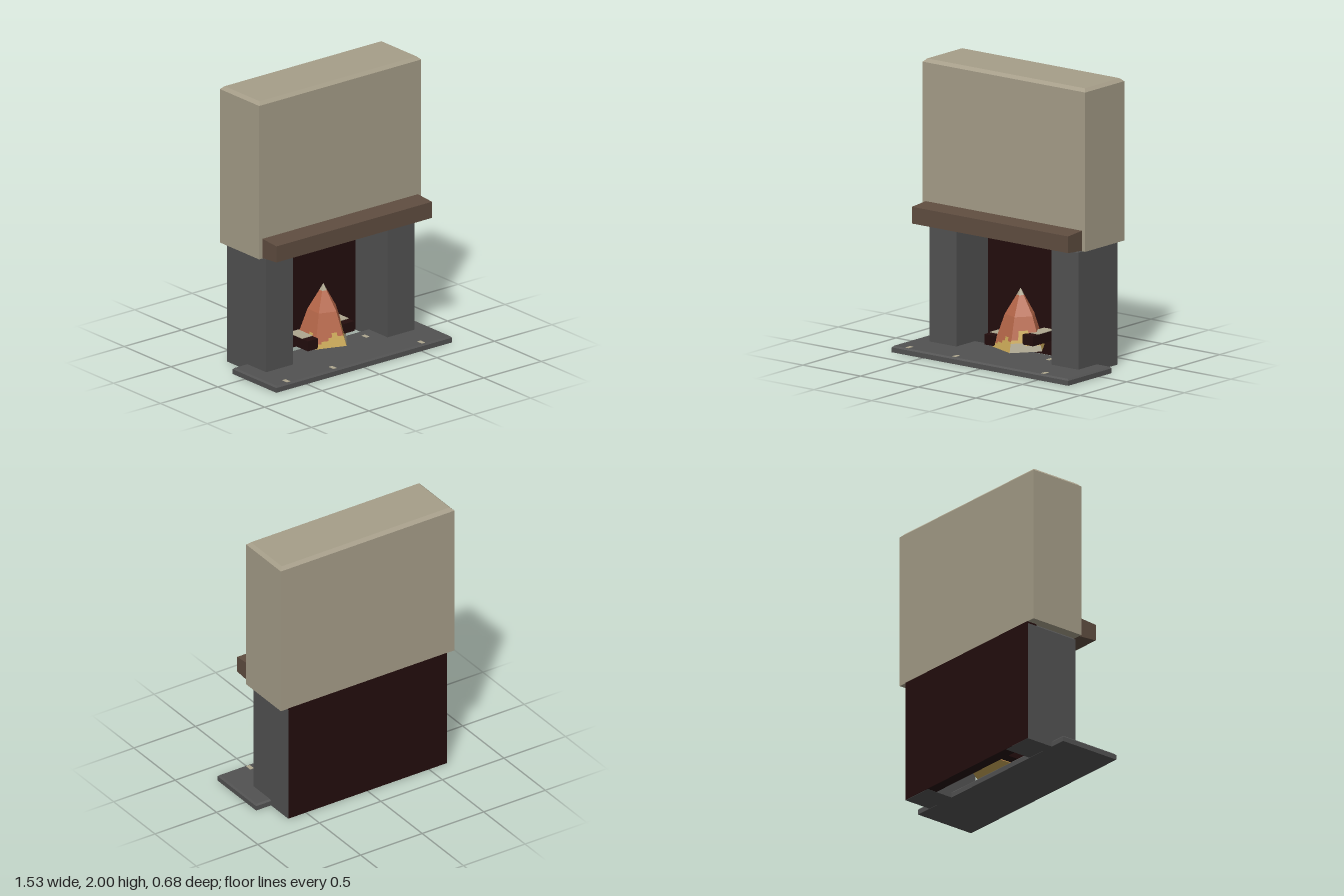
import * as THREE from 'three';

const mat = (name, color) => {
  const m = new THREE.MeshStandardMaterial({ color });
  m.name = name;
  return m;
};

// Faceted normals baked into the geometry
function faceted(geo) {
  const g = geo.index ? geo.toNonIndexed() : geo;
  g.computeVertexNormals();
  return g;
}

// Box from min to max whose top edge is chamfered by inset and drop
function block([x0, y0, z0], [x1, y1, z1], inset = 0, drop = 0) {
  const w = x1 - x0, h = y1 - y0, d = z1 - z0;
  const g = new THREE.BoxGeometry(w, h, d, 1, inset ? 2 : 1, 1);
  const p = g.attributes.position;
  if (inset) for (let i = 0; i < p.count; i++) {
    const y = p.getY(i);
    if (Math.abs(y) < 1e-6) p.setY(i, h / 2 - drop);
    else if (y > 0) {
      p.setX(i, p.getX(i) - Math.sign(p.getX(i)) * inset);
      p.setZ(i, p.getZ(i) - Math.sign(p.getZ(i)) * inset);
    }
  }
  g.translate((x0 + x1) / 2, (y0 + y1) / 2, (z0 + z1) / 2);
  return faceted(g);
}

export function createModel() {
  const root = new THREE.Group();
  root.name = 'fireplace';
  const plaster = mat('plaster', 0xa69e89);
  const stone = mat('dark stone', 0x525252);
  const wood = mat('mantel wood', 0x5f4d40);
  const soot = mat('soot', 0x230d0d);
  const orange = mat('flame orange', 0xb8684a);
  const yellow = mat('flame yellow', 0xccaa58);
  const ash = mat('ash', 0xaea78f);

  const add = (name, geo, material, parent = root) => {
    const m = new THREE.Mesh(geo, material);
    m.name = name;
    parent.add(m);
    return m;
  };

  add('chimneyBreast', block([-0.705, 0.872, -0.34], [0.705, 2, 0.08], 0.023, 0.022), plaster);
  add('hearth', block([-0.765, 0, -0.13], [0.765, 0.045, 0.337], 0.011, 0.011), stone);
  for (const s of [-1, 1]) {
    const xs = [s * 0.412, s * 0.645].sort((a, b) => a - b);
    add(s > 0 ? 'leftPillar' : 'rightPillar',
      block([xs[0], 0.001, -0.339], [xs[1], 0.871, 0.08], 0.012, 0.014), stone);
  }
  add('firebackPanel', block([-0.643, 0.002, -0.341], [0.643, 0.874, -0.262]), soot);

  // Mantel shelf tapering towards its front edge
  const mantel = block([-0.677, 0.875, 0.07], [0.677, 1.015, 0.23]);
  const mp = mantel.attributes.position;
  for (let i = 0; i < mp.count; i++) {
    if (mp.getZ(i) > 0.2) mp.setY(i, mp.getY(i) > 0.95 ? 1.003 : 0.887);
  }
  add('mantelShelf', faceted(mantel), wood);

  // Five-sided flame made of stacked bands
  const fire = new THREE.Group();
  fire.name = 'fire';
  fire.position.z = -0.1;
  root.add(fire);
  const start = THREE.MathUtils.degToRad(16), step = Math.PI * 2 / 5;
  const profile = [[0.07, 0.187], [0.3, 0.107], [0.435, 0.027], [0.482, 0.0005]];
  [orange, orange, ash].forEach((m, i) => {
    const [y0, r0] = profile[i], [y1, r1] = profile[i + 1];
    const g = new THREE.CylinderGeometry(r1, r0, y1 - y0, 5, 1, true, start);
    g.translate(0, (y0 + y1) / 2, 0);
    add(i < 2 ? 'flameBody' : 'flameTip', faceted(g), m, fire);
  });
  const base = new THREE.CircleGeometry(0.187, 5, Math.PI / 2 - start);
  base.rotateX(Math.PI / 2).translate(0, 0.07, 0);
  add('flameBase', base, yellow, fire);

  // Thin stepped colour patches on the lower flame facets
  const patch = (facet, u0, u1, y0, y1, material, lift) => {
    const at = (u, y) => {
      const r = 0.187 - (y - 0.07) / 0.23 * 0.08 + lift;
      const a = start + facet * step, b = a + step;
      return [r * THREE.MathUtils.lerp(Math.sin(a), Math.sin(b), u), y,
        r * THREE.MathUtils.lerp(Math.cos(a), Math.cos(b), u)];
    };
    const [a, b, c, d] = [at(u0, y0), at(u1, y0), at(u1, y1), at(u0, y1)];
    const g = new THREE.BufferGeometry();
    g.setAttribute('position', new THREE.Float32BufferAttribute([a, b, c, a, c, d].flat(), 3));
    add('flamePatch', faceted(g), material, fire);
  };
  const tongues = [
    [0, 0.2, 0.1], [0.2, 0.45, 0.115], [0.45, 0.58, 0.135], [0.58, 0.78, 0.165], [0.78, 1, 0.14],
  ];
  const glow = [[0, 0.25, 0.15], [0.25, 0.65, 0.21], [0.65, 1, 0.14]];
  for (let f = 0; f < 5; f++) {
    const ashy = f === 0 || f === 2;
    for (const [u0, u1, top] of ashy ? glow : tongues) patch(f, u0, u1, 0.07, top, yellow, 0.003);
    if (ashy) {
      patch(f, 0, 0.5, 0.07, 0.13, ash, 0.006);
      patch(f, 0.5, 1, 0.07, 0.11, ash, 0.006);
    }
  }

  // Charred logs with ash-covered tops
  const logs = [[0.098, 0.122, 0.188, 0.192, -0.23, 0.0], [-0.225, 0.075, -0.135, 0.147, -0.2, 0.01]];
  for (const [x0, y0, x1, y1, z0, z1] of logs) {
    add('log', block([x0, y0, z0], [x1, y1, z1]), soot);
    add('logAsh', block([x0, y1, z0], [x1, y1 + 0.004, z1 - 0.06]), ash);
  }

  // Ash flecks lying on the hearth
  for (const [x, z] of [[-0.645, 0.295], [-0.24, 0.295], [0.53, 0.295], [0.31, -0.03]]) {
    add('ashFleck', block([x - 0.015, 0.044, z - 0.025], [x + 0.015, 0.047, z + 0.025]), ash);
  }
  return root;
}
